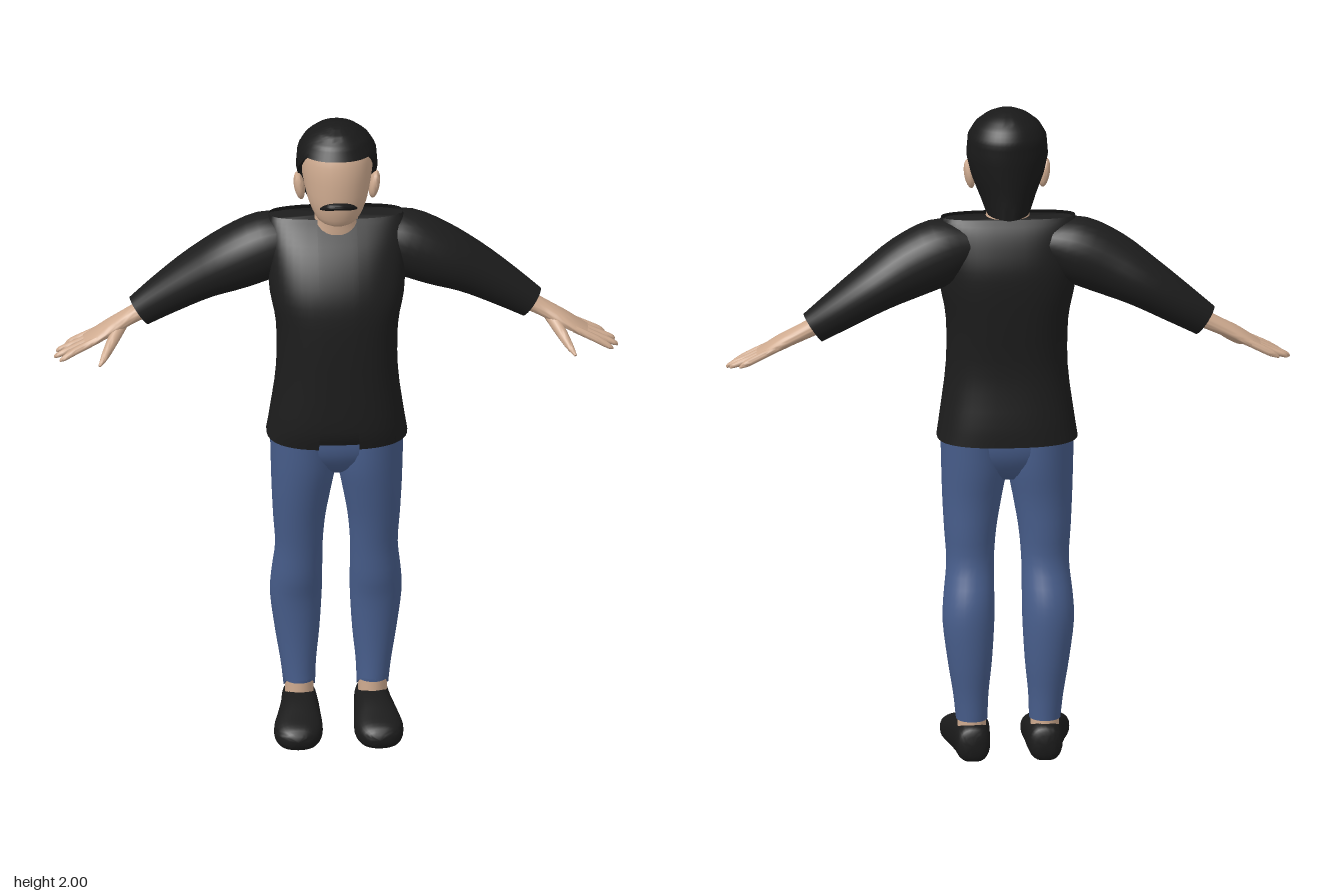
import * as THREE from 'three';
import { toCreasedNormals } from 'three/addons/utils/BufferGeometryUtils.js';

const V = (x, y, z) => new THREE.Vector3(x, y, z);
const mat = (name, color, side = THREE.FrontSide) => {
  const m = new THREE.MeshStandardMaterial({ color, side });
  m.name = name;
  return m;
};

// Surface through a lattice of points; rows run along the part, columns around it
function lattice(rows, cols, point, wrap = true, caps = true) {
  const pos = [], idx = [], n = wrap ? cols : cols + 1;
  for (let i = 0; i <= rows; i++)
    for (let j = 0; j < n; j++) pos.push(...point(i / rows, j / cols).toArray());
  for (let i = 0; i < rows; i++)
    for (let j = 0; j < cols; j++) {
      const a = i * n + j, b = i * n + ((j + 1) % n);
      idx.push(a, a + n, b, b, a + n, b + n);
    }
  if (caps) {
    for (const row of [0, rows]) {
      const c = pos.length / 3, mid = V(0, 0, 0);
      for (let j = 0; j < n; j++) mid.add(V(0, 0, 0).fromArray(pos, (row * n + j) * 3));
      pos.push(...mid.divideScalar(n).toArray());
      for (let j = 0; j < cols; j++) {
        const a = row * n + j, b = row * n + ((j + 1) % n);
        if (row) idx.push(c, b, a); else idx.push(c, a, b);
      }
    }
  }
  const g = new THREE.BufferGeometry();
  g.setAttribute('position', new THREE.Float32BufferAttribute(pos, 3));
  g.setIndex(idx);
  return g;
}

// Smooth loft through rings [x, y, z, radiusU, radiusV].
// axis fixes the ring plane, otherwise rings stand square to the path.
function loft(rings, { axis, v = V(0, 0, 1), power = 2, cols = 28, gap = 0, adjust } = {}) {
  const path = new THREE.CatmullRomCurve3(rings.map(r => V(r[0], r[1], r[2])), false, 'catmullrom');
  const size = new THREE.CatmullRomCurve3(rings.map(r => V(r[3], r[4], 0)), false, 'catmullrom');
  const pw = x => Math.sign(x) * Math.abs(x) ** (2 / power);
  return lattice((rings.length - 1) * 3, cols, (s, q) => {
    const t = axis || path.getTangent(s);
    const du = t.clone().cross(v).normalize(), dv = du.clone().cross(t).normalize();
    const a = Math.PI / 2 + gap + q * (Math.PI * 2 - 2 * gap), r = size.getPoint(s);
    const p = path.getPoint(s).addScaledVector(du, r.x * pw(Math.cos(a))).addScaledVector(dv, r.y * pw(Math.sin(a)));
    if (adjust) adjust(p, s);
    return p;
  }, gap === 0, gap === 0);
}

function mirrored(g) {
  const m = g.clone().scale(-1, 1, 1), k = m.index.array;
  for (let i = 0; i < k.length; i += 3) [k[i], k[i + 1]] = [k[i + 1], k[i]];
  return m;
}

// Piecewise linear lookup; each row is [key, value, value...]
function lookup(table, key, col = 1) {
  let i = 0;
  while (i < table.length - 2 && key > table[i + 1][0]) i++;
  const [a, b] = [table[i], table[i + 1]];
  return THREE.MathUtils.lerp(a[col], b[col], THREE.MathUtils.clamp((key - a[0]) / (b[0] - a[0]), 0, 1));
}

export function createModel() {
  const model = new THREE.Group();
  model.name = 'standingMan';
  const skin = mat('skin', 0xcfab90);
  const black = mat('blackCloth', 0x1d1d1d, THREE.DoubleSide);
  const denim = mat('blueDenim', 0x485e8c, THREE.DoubleSide);
  const dark = mat('blackHair', 0x191919, THREE.DoubleSide);
  const leather = mat('blackLeather', 0x1b1b1b);
  const add = (name, g, m, crease = 1) => {
    const mesh = new THREE.Mesh(toCreasedNormals(g, crease), m);
    mesh.name = name;
    model.add(mesh);
  };
  const pair = (name, g, m) => {
    add('left' + name, g, m);
    add('right' + name, mirrored(g), m);
  };
  const up = V(0, 1, 0), down = V(0, -1, 0);

  // Open jacket over a shirt: [y, z, half width, half depth]
  const torso = [
    [0.985, -0.008, 0.21, 0.15], [1.05, 0, 0.2, 0.157], [1.2, 0.008, 0.181, 0.152],
    [1.35, 0, 0.182, 0.16], [1.45, -0.01, 0.2, 0.16], [1.53, -0.025, 0.205, 0.145],
    [1.6, -0.038, 0.205, 0.115], [1.65, -0.05, 0.204, 0.082], [1.68, -0.055, 0.2, 0.055],
  ];
  add('jacket', loft(torso.map(([y, z, w, d]) => [0, y, z, w, d]),
    { axis: up, power: 2.6, cols: 44, gap: 0.2 }), black);
  add('shirt', loft(torso.map(([y, z, w, d], i) => [0, y + (i ? -0.006 : 0.01), z, w - 0.01, d - 0.012]),
    { axis: up, power: 2.6, cols: 44 }), black);

  // Sleeves
  pair('Sleeve', loft([
    [0.12, 1.6, -0.06, 0.07, 0.08], [0.2, 1.575, -0.065, 0.1, 0.098], [0.3, 1.53, -0.07, 0.096, 0.1],
    [0.4, 1.475, -0.085, 0.078, 0.092], [0.5, 1.41, -0.09, 0.063, 0.07], [0.585, 1.352, -0.088, 0.05, 0.046],
  ]), black);

  // Hands with four fingers and a thumb
  pair('Palm', loft([
    [0.56, 1.366, -0.085, 0.028, 0.032], [0.62, 1.335, -0.08, 0.024, 0.034],
    [0.675, 1.306, -0.07, 0.021, 0.043], [0.72, 1.28, -0.066, 0.016, 0.047], [0.748, 1.267, -0.064, 0.01, 0.044],
  ]), skin);
  const fingerTips = [[0.825, 1.223, -0.02], [0.84, 1.222, -0.048], [0.832, 1.228, -0.077], [0.805, 1.236, -0.105]];
  fingerTips.forEach(([x, y, z], i) => pair('Finger' + (i + 1), loft([
    [0.71, 1.285, -0.032 - i * 0.023, 0.011, 0.011],
    [0.775, 1.253, -0.026 - i * 0.026, 0.011, 0.011],
    [x - 0.012, y + 0.008, z, 0.008, 0.009], [x, y, z, 0.003, 0.004],
  ], { cols: 10 }), skin));
  pair('Thumb', loft([
    [0.635, 1.322, -0.07, 0.015, 0.02], [0.665, 1.288, -0.025, 0.016, 0.018],
    [0.692, 1.255, 0.02, 0.012, 0.012], [0.71, 1.236, 0.05, 0.004, 0.004],
  ], { cols: 12, v: V(0.6, 0.7, 0.3) }), skin);

  // Jeans: hips and legs, hems raised a little at the front
  add('jeansHips', loft([
    [0, 1.03, -0.01, 0.19, 0.125], [0, 0.95, -0.01, 0.19, 0.118], [0, 0.89, -0.012, 0.15, 0.085],
    [0, 0.86, -0.015, 0.07, 0.05],
  ], { axis: down, power: 2.3 }), denim);
  pair('JeansLeg', loft([
    [0.1, 1.03, -0.01, 0.1, 0.132], [0.098, 0.9, -0.01, 0.099, 0.118], [0.105, 0.8, -0.012, 0.089, 0.1],
    [0.111, 0.7, -0.02, 0.078, 0.085], [0.112, 0.6, -0.028, 0.071, 0.073], [0.117, 0.5, -0.05, 0.076, 0.082],
    [0.119, 0.42, -0.063, 0.077, 0.077], [0.115, 0.3, -0.065, 0.066, 0.067],
    [0.112, 0.2, -0.06, 0.053, 0.058], [0.109, 0.12, -0.056, 0.047, 0.055],
  ], {
    axis: down,
    adjust: (p, s) => { if (s === 1) p.y += 0.035 * THREE.MathUtils.clamp((p.z + 0.056) / 0.04, 0, 1); },
  }), denim);

  // Ankles and shoes with flat soles
  pair('Ankle', loft([[0.109, 0.08, -0.056, 0.043, 0.05], [0.109, 0.14, -0.056, 0.043, 0.05],
    [0.109, 0.18, -0.056, 0.044, 0.05]], { axis: up }), skin);
  pair('Shoe', loft([
    [0.108, 0.05, -0.132, 0.025, 0.03], [0.108, 0.053, -0.115, 0.048, 0.055], [0.109, 0.054, -0.04, 0.056, 0.062],
    [0.114, 0.051, 0.03, 0.064, 0.059], [0.12, 0.042, 0.1, 0.073, 0.048], [0.122, 0.037, 0.15, 0.06, 0.037],
    [0.122, 0.035, 0.175, 0.03, 0.02],
  ], { axis: V(0, 0, 1), v: up, power: 2.5, adjust: p => { p.y = Math.max(p.y, 0); } }), leather);

  // Neck, head and ears
  add('neck', loft([[0, 1.64, -0.035, 0.072, 0.06], [0, 1.69, -0.03, 0.064, 0.06], [0, 1.77, -0.02, 0.066, 0.065]],
    { axis: up }), skin);
  add('head', loft([
    [0, 1.698, 0.052, 0.03, 0.035], [0, 1.712, 0.046, 0.06, 0.056], [0, 1.76, 0.03, 0.085, 0.087],
    [0, 1.82, 0.01, 0.1, 0.11], [0, 1.88, -0.002, 0.108, 0.118], [0, 1.93, -0.01, 0.104, 0.112],
    [0, 1.965, -0.01, 0.075, 0.08], [0, 1.98, -0.01, 0.03, 0.03],
  ], { axis: up }), skin, 1.6);
  pair('Ear', new THREE.SphereGeometry(1, 16, 12).scale(0.016, 0.045, 0.024).rotateZ(-0.15)
    .translate(0.112, 1.795, -0.002), skin);

  // Moustache
  add('moustache', loft([
    [-0.052, 1.764, 0.095, 0.004, 0.006], [-0.032, 1.775, 0.114, 0.01, 0.011], [0, 1.782, 0.124, 0.01, 0.014],
    [0.032, 1.775, 0.114, 0.01, 0.011], [0.052, 1.764, 0.095, 0.004, 0.006],
  ], { cols: 12 }), dark);

  // Hair shell: straight fringe, cut away round the ears, long at the nape
  const hem = [[0, 1.922], [0.95, 1.918], [1.5, 1.84], [1.72, 1.76], [2.0, 1.685], [Math.PI, 1.68]];
  const bulk = [[1.68, 0.068, 0.113], [1.74, 0.086, 0.113], [1.8, 0.109, 0.117], [1.86, 0.122, 0.121],
    [1.92, 0.117, 0.121], [1.955, 0.096, 0.1], [1.98, 0.064, 0.068], [1.994, 0.032, 0.034], [2, 0, 0]];
  add('hair', lattice(24, 48, (s, q) => {
    const a = q * Math.PI * 2, edge = lookup(hem, Math.min(a, 2 * Math.PI - a));
    const y = THREE.MathUtils.lerp(2, edge, Math.min(1, s * 24 / 23) ** 2);
    const tuck = s === 1 ? 0.82 : 1;
    return V(Math.sin(a) * lookup(bulk, y, 1) * tuck, y, Math.cos(a) * lookup(bulk, y, 2) * tuck - 0.009);
  }, true, false), dark);

  return model;
}
